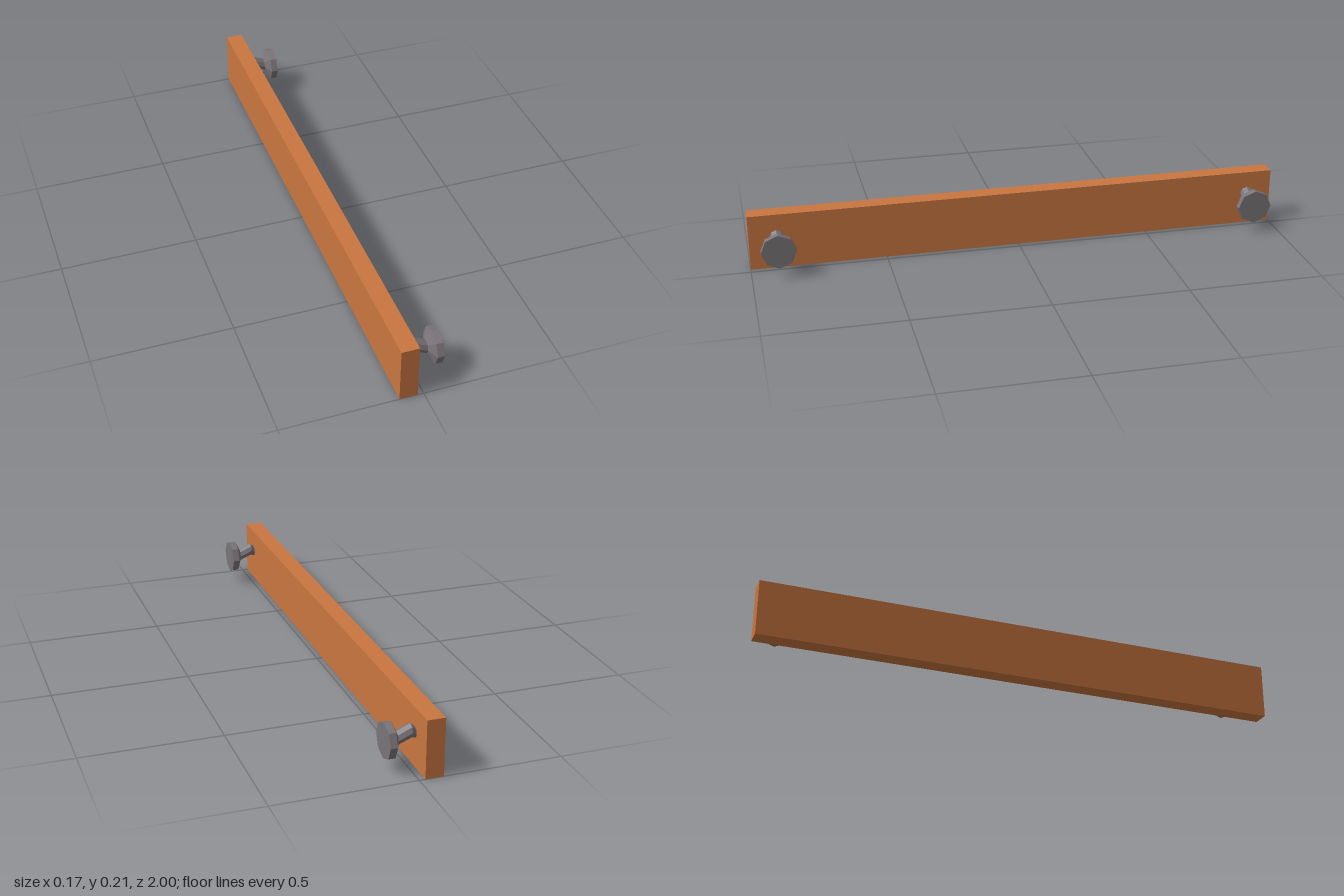
import * as THREE from 'three';

// Knob rings along x: [x, radius, centre height]
const RINGS = [
  [-0.034, 0, 0.114],
  [-0.034, 0.016, 0.114],
  [-0.006, 0.025, 0.130],
  [0.042, 0.024, 0.109],
  [0.060, 0.064, 0.107],
  [0.085, 0.064, 0.107],
  [0.085, 0, 0.107],
];

// Eight-sided knob with a bent stem, faceted
function knobGeometry() {
  const lathe = new THREE.LatheGeometry(RINGS.map(([x, r]) => new THREE.Vector2(r, x)), 8);
  lathe.rotateZ(-Math.PI / 2);
  const pos = lathe.attributes.position;
  for (let i = 0; i < pos.count; i++) {
    // lathe vertices run ring by ring within each segment
    pos.setY(i, pos.getY(i) + RINGS[i % RINGS.length][2]);
  }
  const geometry = lathe.toNonIndexed();
  geometry.computeVertexNormals();
  return geometry;
}

export function createModel() {
  const wood = new THREE.MeshStandardMaterial({ color: 0xc97640 });
  wood.name = 'orange wood';
  const metal = new THREE.MeshStandardMaterial({ color: 0x7a7478 });
  metal.name = 'grey metal';

  const group = new THREE.Group();
  group.name = 'railWithKnobs';

  // Long upright plank
  const plank = new THREE.Mesh(new THREE.BoxGeometry(0.064, 0.208, 2), wood);
  plank.name = 'plank';
  plank.position.set(-0.053, 0.104, 0);
  group.add(plank);

  // One knob near each end
  const geometry = knobGeometry();
  for (const [name, z] of [['frontKnob', 0.9], ['backKnob', -0.9]]) {
    const knob = new THREE.Mesh(geometry, metal);
    knob.name = name;
    knob.position.z = z;
    group.add(knob);
  }
  return group;
}
